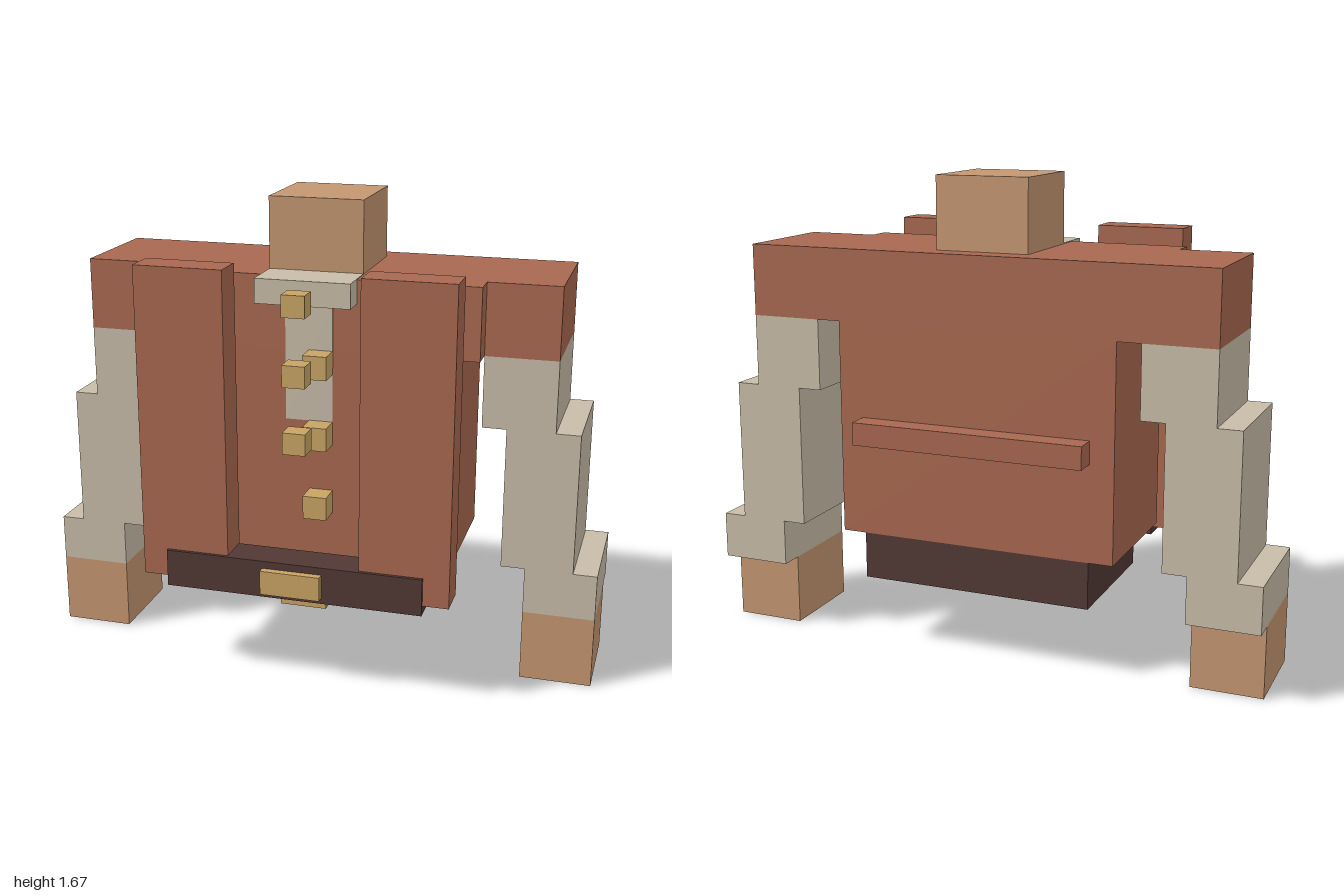
import * as THREE from 'three';

const material = (name, color) => {
  const m = new THREE.MeshStandardMaterial({ color });
  m.name = name;
  return m;
};

export function createModel() {
  const model = new THREE.Group();
  model.name = 'jacketTorso';

  const rust = material('rust cloth', 0xa86850);
  const linen = material('pale linen', 0xc8bca8);
  const skin = material('tan skin', 0xc49670);
  const gold = material('dull gold', 0xc8a464);
  const leather = material('dark leather', 0x513934);

  // Box given by its extents along each axis
  const box = (name, mat, [x0, x1], [y0, y1], [z0, z1], parent = model) => {
    const geo = new THREE.BoxGeometry(x1 - x0, y1 - y0, z1 - z0);
    const mesh = new THREE.Mesh(geo, mat);
    mesh.position.set((x0 + x1) / 2, (y0 + y1) / 2, (z0 + z1) / 2);
    mesh.name = name;
    parent.add(mesh);
  };
  const sym = (h) => [-h, h];

  // Jacket body
  box('jacketBody', rust, sym(0.5), [0.417, 1.167], [-0.333, 0.167]);
  box('shoulderYoke', rust, sym(0.833), [1.167, 1.417], [-0.333, 0.083]);
  box('chestYoke', rust, sym(0.583), [1.167, 1.417], [0.083, 0.167]);
  box('backStrap', rust, sym(0.415), [0.755, 0.835], [-0.413, -0.333]);
  box('waistband', leather, sym(0.415), [0.253, 0.417], [-0.333, 0.167]);

  // Neck, collar and shirt front
  box('neck', skin, sym(0.165), [1.417, 1.667], [-0.25, 0.083]);
  box('collar', linen, sym(0.165), [1.335, 1.42], [0.083, 0.25]);
  box('shirtFront', linen, sym(0.083), [0.917, 1.335], [0.163, 0.17]);

  // Arms and loose front panels, mirrored
  for (const side of [1, -1]) {
    const arm = new THREE.Group();
    arm.name = side > 0 ? 'leftArm' : 'rightArm';
    model.add(arm);
    const span = (a, b) => (side > 0 ? [a, b] : [-b, -a]);
    const depth = [-0.333, 0.083];
    box('upperSleeve', linen, span(0.583, 0.833), [0.917, 1.167], depth, arm);
    box('middleSleeve', linen, span(0.667, 0.917), [0.417, 0.917], depth, arm);
    box('cuff', linen, span(0.75, 1), [0.253, 0.417], depth, arm);
    box('hand', skin, span(0.75, 1), [0, 0.253], [-0.25, 0.083], arm);
    box('frontPanel', rust, span(0.232, 0.543), [0.37, 1.468], [0.255, 0.375]);
  }

  // Belt and buckles
  box('frontBelt', leather, sym(0.453), [0.338, 0.47], [0.26, 0.387]);
  box('beltBuckle', gold, sym(0.105), [0.358, 0.444], [0.38, 0.413]);
  box('waistBuckle', gold, sym(0.083), [0.253, 0.417], [0.167, 0.25]);

  // Two rows of buttons
  for (const y of [0.627, 0.877, 1.127]) {
    box('innerButton', gold, [0, 0.083], [y - 0.041, y + 0.041], [0.167, 0.25]);
  }
  for (const y of [0.885, 1.118, 1.354]) {
    box('outerButton', gold, [-0.043, 0.037], [y - 0.038, y + 0.038], [0.268, 0.343]);
  }

  return model;
}
